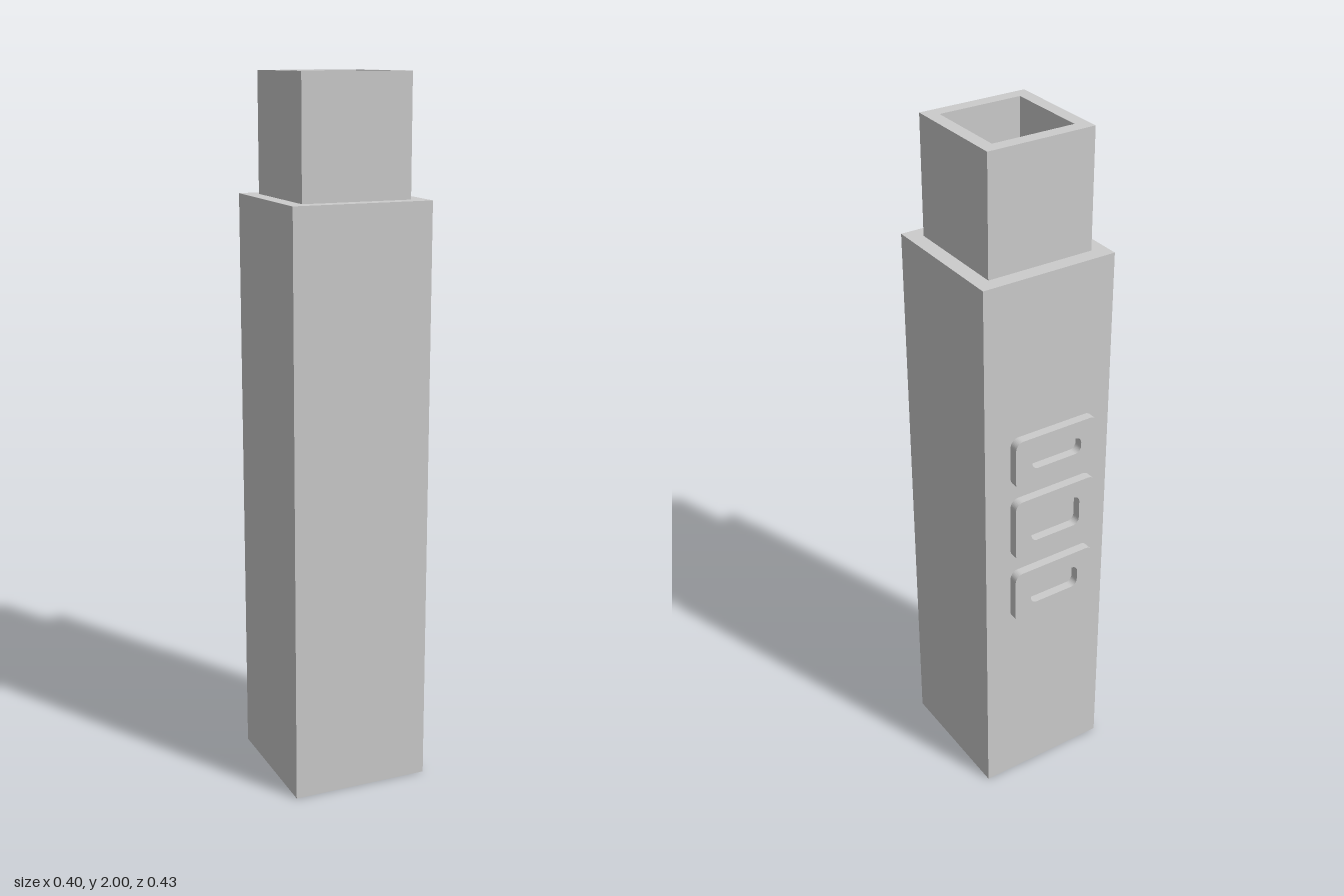
import * as THREE from 'three';

const material = new THREE.MeshStandardMaterial({ color: 0xcccccc, flatShading: true });
const CENTER_Z = 0.0125;

// Square hollow section: a closed [half width, height] profile swept round four sides.
function squareTube(name, profile) {
  const points = profile.map(([half, y]) => new THREE.Vector2(half * Math.SQRT2, y));
  const geometry = new THREE.LatheGeometry(points, 4, Math.PI / 4);
  const mesh = new THREE.Mesh(geometry, material);
  mesh.name = name;
  mesh.position.z = CENTER_Z;
  return mesh;
}

// Rounded rectangle outline centred on the origin.
function roundedRect(target, w, h, r) {
  const x = w / 2, y = h / 2;
  target.moveTo(-x + r, -y);
  target.lineTo(x - r, -y);
  target.absarc(x - r, -y + r, r, -Math.PI / 2, 0);
  target.lineTo(x, y - r);
  target.absarc(x - r, y - r, r, 0, Math.PI / 2);
  target.lineTo(-x + r, y);
  target.absarc(-x + r, y - r, r, Math.PI / 2, Math.PI);
  target.lineTo(-x, -y + r);
  target.absarc(-x + r, -y + r, r, Math.PI, Math.PI * 1.5);
  return target;
}

// Raised pad with a slot, standing out from the back wall.
function reliefPad(bottom, top) {
  const h = top - bottom;
  const shape = roundedRect(new THREE.Shape(), 0.265, h, 0.025);
  shape.holes.push(roundedRect(new THREE.Path(), 0.16, h - 0.1, 0.02));
  const geometry = new THREE.ExtrudeGeometry(shape, { depth: 0.03, bevelEnabled: false, curveSegments: 6 });
  const mesh = new THREE.Mesh(geometry, material);
  mesh.name = 'reliefPad';
  mesh.position.set(-0.0135, (bottom + top) / 2, -0.2135);
  return mesh;
}

export function createModel() {
  const group = new THREE.Group();
  group.name = 'squarePost';

  // One continuous shell: sleeve, shoulder and narrower plug, open at both ends.
  group.add(squareTube('postShell', [
    [0.2, 0], [0.2, 1.667],
    [0.157, 1.667], [0.157, 2],
    [0.12, 2], [0.12, 1.63],
    [0.178, 1.63], [0.178, 0],
    [0.2, 0],
  ]));

  // Stack of raised pads on the back
  const pads = new THREE.Group();
  pads.name = 'backRelief';
  for (const [bottom, top] of [[0.6, 0.77], [0.82, 1.015], [1.06, 1.21]]) {
    pads.add(reliefPad(bottom, top));
  }
  group.add(pads);

  return group;
}
